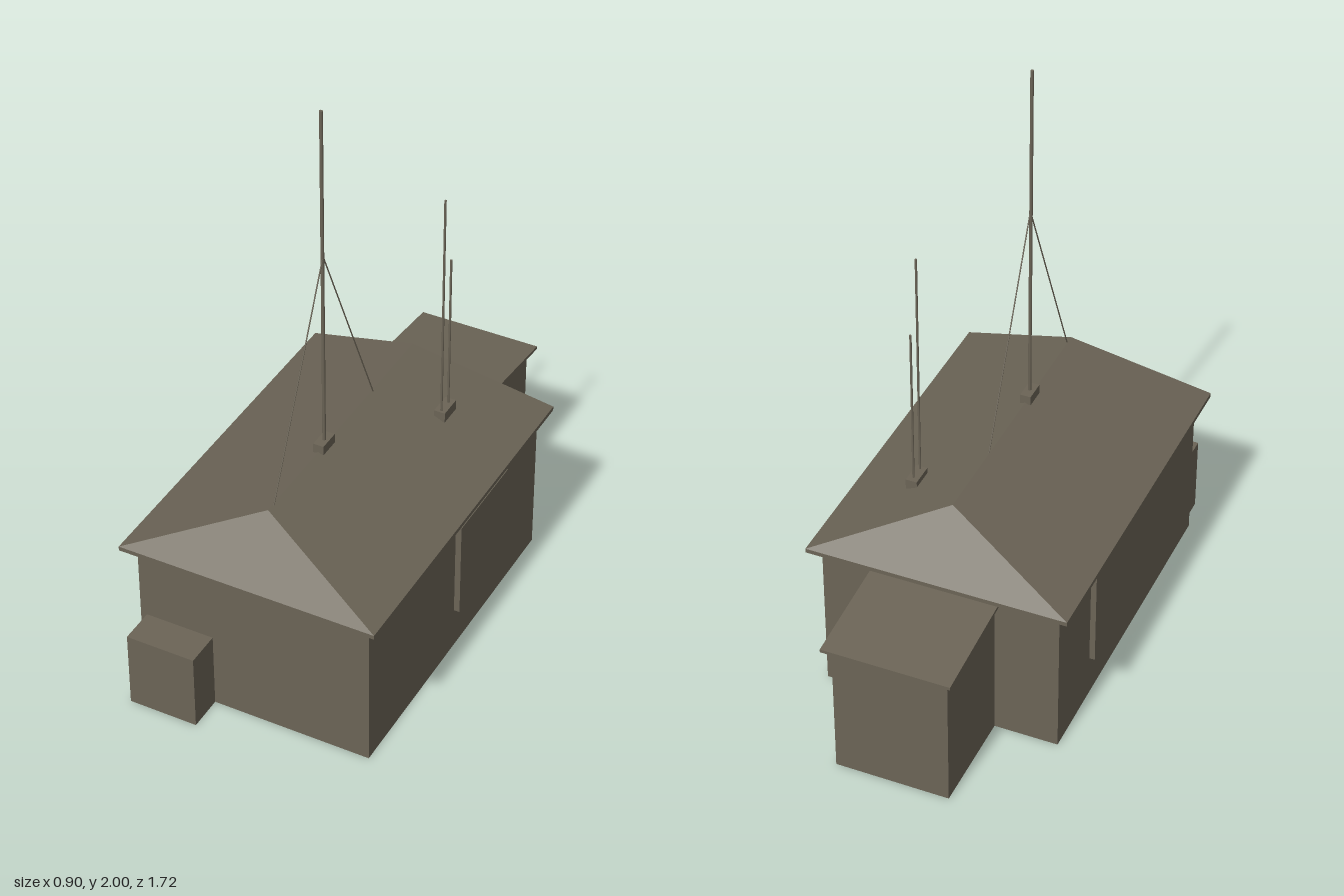
import * as THREE from 'three';

const OPEN_BOTTOM = [3];

// Box from its bounds; drops faces by index (+x,-x,+y,-y,+z,-z) and can reshape corners
function block(x0, x1, y0, y1, z0, z1, drop = [], reshape = null) {
  const g = new THREE.BoxGeometry(x1 - x0, y1 - y0, z1 - z0);
  g.translate((x0 + x1) / 2, (y0 + y1) / 2, (z0 + z1) / 2);
  const index = Array.from(g.index.array);
  g.setIndex(index.filter((_, i) => !drop.includes(Math.floor(i / 6))));
  g.clearGroups();
  if (reshape) {
    const p = g.attributes.position;
    const v = new THREE.Vector3();
    for (let i = 0; i < p.count; i++) {
      v.fromBufferAttribute(p, i);
      reshape(v);
      p.setXYZ(i, v.x, v.y, v.z);
    }
    g.computeVertexNormals();
  }
  return g;
}

// Thin round rod between two points
function rod(a, b, radius, sides = 8) {
  const dir = b.clone().sub(a);
  const g = new THREE.CylinderGeometry(radius, radius, dir.length(), sides);
  g.applyQuaternion(new THREE.Quaternion().setFromUnitVectors(new THREE.Vector3(0, 1, 0), dir.normalize()));
  const mid = a.clone().add(b).multiplyScalar(0.5);
  return g.translate(mid.x, mid.y, mid.z);
}

export function createModel() {
  const model = new THREE.Group();
  model.name = 'radioHut';
  const drab = new THREE.MeshStandardMaterial({ color: 0x6b6456, side: THREE.DoubleSide });
  drab.name = 'drab olive';
  const add = (name, geometry) => {
    const mesh = new THREE.Mesh(geometry, drab);
    mesh.name = name;
    model.add(mesh);
  };
  const P = (x, y, z) => new THREE.Vector3(x, y, z);

  // Main building, open underneath
  add('mainWalls', block(-0.412, 0.406, 0, 0.55, -0.467, 0.738, OPEN_BOTTOM));

  // Hipped roof: eave slab and sloping planes meeting at the ridge
  add('eaves', block(-0.452, 0.446, 0.546, 0.561, -0.505, 0.782, [2]));
  add('hippedRoof', block(-0.452, 0.446, 0.561, 0.768, -0.505, 0.782, [2, 3], (v) => {
    if (v.y > 0.7) {
      v.x = 0;
      v.z = v.z > 0 ? 0.628 : -0.35;
    }
  }));

  // Rear annex with a lean-to roof
  const slope = (z) => (z + 0.467) * 0.1;
  add('annexWalls', block(-0.192, 0.2, 0, 0.535, -0.828, -0.467, OPEN_BOTTOM, (v) => {
    if (v.y > 0.5) v.y += slope(v.z);
  }));
  add('annexRoof', block(-0.216, 0.223, 0.532, 0.543, -0.86, -0.467, [], (v) => {
    v.y += slope(v.z);
  }));

  // Front locker
  add('frontLocker', block(-0.39, -0.149, 0, 0.273, 0.738, 0.86, OPEN_BOTTOM));

  // Shutters on both side walls
  add('leftShutter', block(0.406, 0.426, 0.152, 0.502, -0.202, 0.142));
  add('rightShutter', block(-0.431, -0.412, 0.152, 0.502, -0.202, 0.142));

  // Main mast on the ridge with two guy wires
  add('mastBase', block(-0.019, 0.018, 0.762, 0.795, 0.229, 0.304));
  add('mast', rod(P(0.001, 0.77, 0.268), P(0.001, 2, 0.268), 0.006));
  for (const z of [0.597, -0.06]) {
    add('guyWire', rod(P(0.003, 1.49, 0.268), P(0.003, 0.766, z), 0.0022, 6));
  }

  // Twin aerials on the roof slope
  add('aerialBase', block(0.186, 0.225, 0.666, 0.702, -0.218, -0.136));
  for (const [z, top] of [[-0.147, 1.512], [-0.197, 1.26]]) {
    add('aerial', rod(P(0.207, 0.69, z), P(0.207, top, z), 0.004));
  }

  return model;
}
